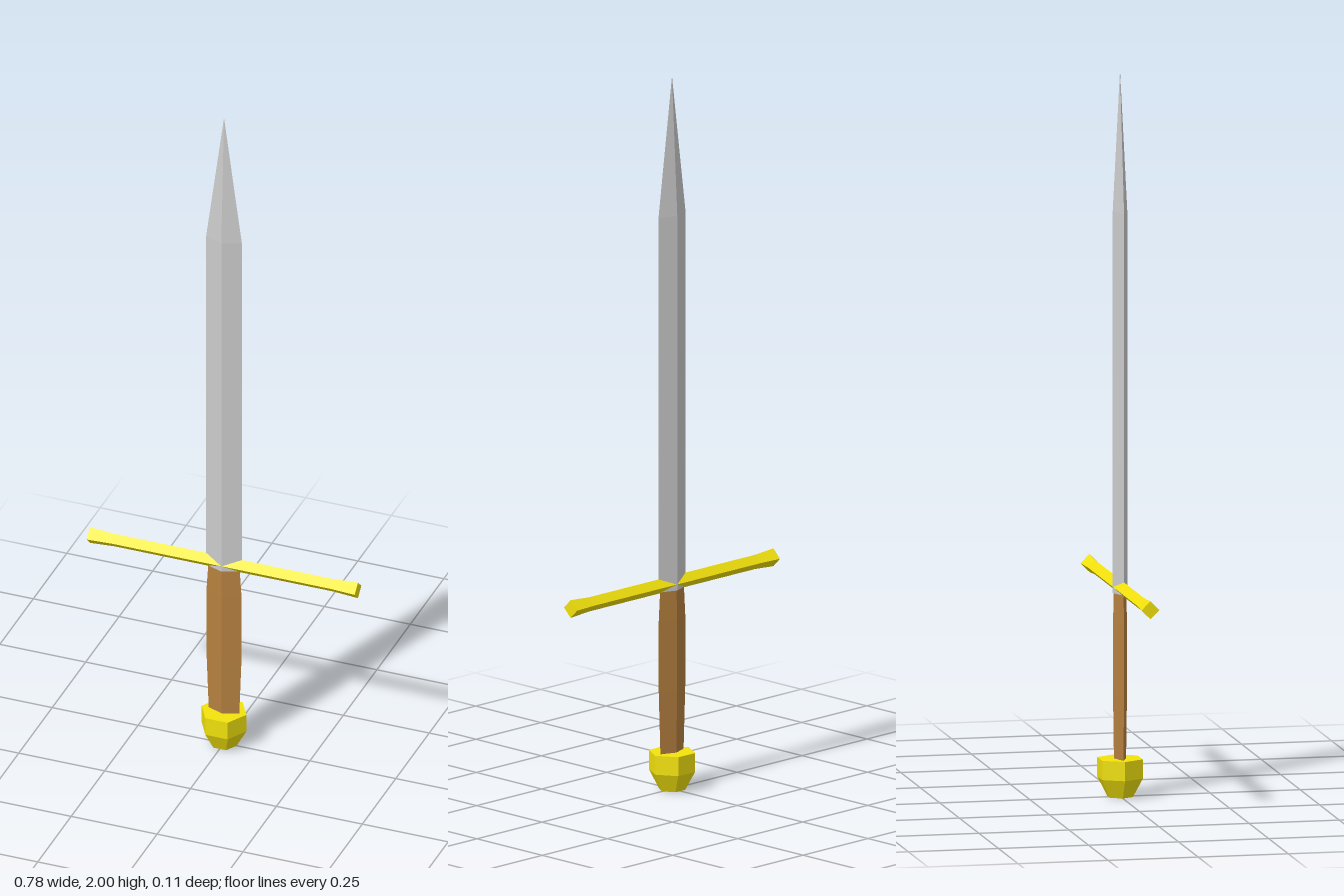
import * as THREE from 'three';

const material = (color) => new THREE.MeshStandardMaterial({ color, flatShading: true });

// Faceted solid turned about y from [radius, y] points, with corners on the x axis.
function turned(name, points, sides, depth, mat) {
  const profile = points.map(([r, y]) => new THREE.Vector2(r, y));
  const geometry = new THREE.LatheGeometry(profile, sides, Math.PI / 2);
  geometry.scale(1, 1, depth);
  const mesh = new THREE.Mesh(geometry, mat);
  mesh.name = name;
  return mesh;
}

export function createModel() {
  const group = new THREE.Group();
  group.name = 'sword';
  const steel = material(0xcccccc);
  const gold = material(0xf2e20c);
  const wood = material(0xb5803f);

  // Diamond-section blade, straight then tapering to a point
  const blade = turned('blade', [[0, 0.56], [0.052, 0.56], [0.052, 1.61], [0, 2]], 4, 0.39, steel);

  // Diamond-section crossguard with flared ends, laid along x
  const guard = turned('crossguard', [
    [0, -0.39], [0.025, -0.39], [0.02, -0.32],
    [0.02, 0.32], [0.025, 0.39], [0, 0.39],
  ], 4, 1, gold);
  guard.rotation.z = -Math.PI / 2;
  guard.position.y = 0.577;

  // Grip, slightly swollen along its middle
  const grip = turned('grip', [
    [0, 0.09], [0.044, 0.09], [0.051, 0.28], [0.051, 0.48], [0.045, 0.575], [0, 0.575],
  ], 4, 0.38, wood);

  // Six-sided pommel with a tapered base
  const pommel = turned('pommel', [
    [0, 0], [0.037, 0], [0.065, 0.052], [0.065, 0.105], [0, 0.105],
  ], 6, 1, gold);

  group.add(blade, guard, grip, pommel);
  return group;
}
